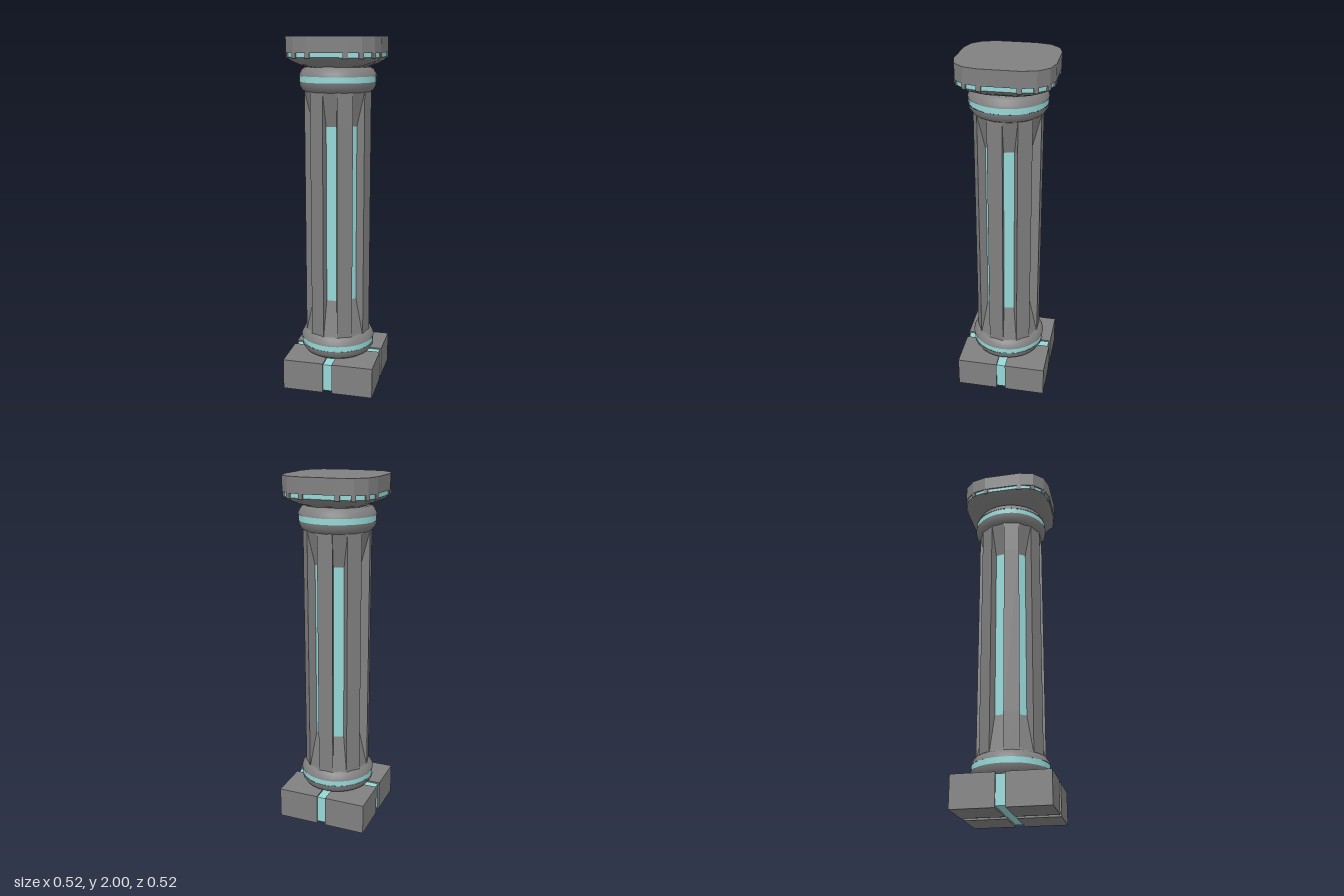
import * as THREE from 'three';

const stone = new THREE.MeshStandardMaterial({ color: 0x808080 });
stone.name = 'grey stone';
const glow = new THREE.MeshStandardMaterial({ color: 0x96d8d8 });
glow.name = 'pale teal inlay';

// Skin closed loops of [x, y, z] points, bottom to top; keep(row, column) picks the quads.
function loft(rings, { smooth = false, caps = false, keep = () => true } = {}) {
  const n = rings[0].length, index = [];
  const pos = rings.flat(2);
  rings.slice(1).forEach((_, j) => {
    for (let i = 0; i < n; i++) {
      if (!keep(j, i)) continue;
      const a = j * n + i, b = j * n + (i + 1) % n;
      index.push(a, b, b + n, a, b + n, a + n);
    }
  });
  if (caps) {
    const top = (rings.length - 1) * n;
    for (let i = 1; i < n - 1; i++) index.push(0, i + 1, i, top, top + i, top + i + 1);
  }
  let geo = new THREE.BufferGeometry();
  geo.setAttribute('position', new THREE.Float32BufferAttribute(pos, 3));
  geo.setIndex(index);
  if (!smooth) geo = geo.toNonIndexed();
  geo.computeVertexNormals();
  return geo;
}

export function createModel() {
  const model = new THREE.Group();
  model.name = 'column';
  const add = (name, geo, mat, x = 0, y = 0, z = 0, parent = model) => {
    const mesh = new THREE.Mesh(geo, mat);
    mesh.name = name;
    mesh.position.set(x, y, z);
    parent.add(mesh);
    return mesh;
  };

  // Plinth: four blocks around an inlaid cross
  const block = new THREE.BoxGeometry(0.236, 0.178, 0.236);
  for (const x of [-1, 1]) for (const z of [-1, 1])
    add('plinthBlock', block, stone, x * 0.144, 0.089, z * 0.144);
  add('plinthInlayX', new THREE.BoxGeometry(0.505, 0.16, 0.052), glow, 0, 0.09, 0);
  add('plinthInlayZ', new THREE.BoxGeometry(0.052, 0.16, 0.505), glow, 0, 0.09, 0);

  // Shaft: seven flutes whose floors ramp out to the ribs at both ends
  const FLUTES = 7, edge = THREE.MathUtils.degToRad(12.3), R = 0.189;
  const cx = R * Math.sin(edge), cz = R * Math.cos(edge);
  const section = (y, deep) => {
    const ring = [];
    for (let k = 0; k < FLUTES; k++) {
      const t = k * Math.PI * 2 / FLUTES, s = Math.sin(t), c = Math.cos(t);
      const floor = deep ? [[-0.032, 0.137], [0.026, 0.137]] : [[-cx, cz], [cx, cz]];
      for (const [u, d] of [[-cx, cz], ...floor, [cx, cz]])
        ring.push([u * c + d * s, y, d * c - u * s]);
    }
    return ring;
  };
  const sections = [section(0.3, false), section(0.52, true), section(1.52, true), section(1.71, false)];
  const isInlay = (j, i) => j === 1 && i % 4 === 1;
  add('shaft', loft(sections, { keep: (j, i) => !isInlay(j, i) }), stone);
  add('fluteInlays', loft(sections, { keep: isInlay }), glow);

  // Rounded collars with a teal band, at the foot and head of the shaft
  const lathe = pts => new THREE.LatheGeometry(pts.map(p => new THREE.Vector2(...p)), 28);
  const collar = (name, y) => {
    const g = new THREE.Group();
    g.name = name;
    g.position.y = y;
    model.add(g);
    add('collarLower', lathe([[0.178, -0.073], [0.198, -0.06], [0.212, -0.037], [0.216, -0.016]]), stone, 0, 0, 0, g);
    add('collarBand', lathe([[0.213, -0.017], [0.213, 0.017]]), glow, 0, 0, 0, g);
    add('collarUpper', lathe([[0.216, 0.016], [0.212, 0.03], [0.198, 0.053], [0.18, 0.064]]), stone, 0, 0, 0, g);
  };
  collar('footCollar', 0.251);
  collar('headCollar', 1.773);
  add('collarTop', new THREE.CylinderGeometry(0.165, 0.181, 0.01, 28), stone, 0, 1.838, 0);

  // Capital outline: a square with chamfered corners, sixteen points
  const outline = [];
  for (let q = 0; q < 4; q++) {
    const s = Math.sin(q * Math.PI / 2), c = Math.cos(q * Math.PI / 2);
    for (const [u, d] of [[-0.105, 0.262], [0.105, 0.262], [0.185, 0.241], [0.241, 0.185]])
      outline.push([u * c + d * s, d * c - u * s]);
  }
  // Blend from a circle (t = 0) to the outline (t = 1)
  const capRing = (y, r, t) => outline.map(([x, z]) => {
    const k = THREE.MathUtils.lerp(r / Math.hypot(x, z), r / 0.262, t);
    return [x * k, y, z * k];
  });
  add('capitalUnderside', loft([
    capRing(1.832, 0.15, 0), capRing(1.84, 0.18, 0.2), capRing(1.853, 0.212, 0.5),
    capRing(1.87, 0.24, 0.8), capRing(1.891, 0.259, 1),
  ], { smooth: true }), stone);
  add('capitalBand', loft([capRing(1.888, 0.255, 1), capRing(1.918, 0.255, 1)]), glow);
  add('capitalSlab', loft([capRing(1.914, 0.262, 1), capRing(2, 0.262, 1)], { caps: true }), stone);

  // Small clasps across the band at each corner of the outline
  const clasp = new THREE.BoxGeometry(0.026, 0.032, 0.014);
  const turn = [-7.5, 7.5, 30, 60];
  outline.forEach(([x, z], i) => {
    const m = add('bandClasp', clasp, stone, x * 0.965, 1.902, z * 0.965);
    m.rotation.y = THREE.MathUtils.degToRad(Math.floor(i / 4) * 90 + turn[i % 4]);
  });
  return model;
}
